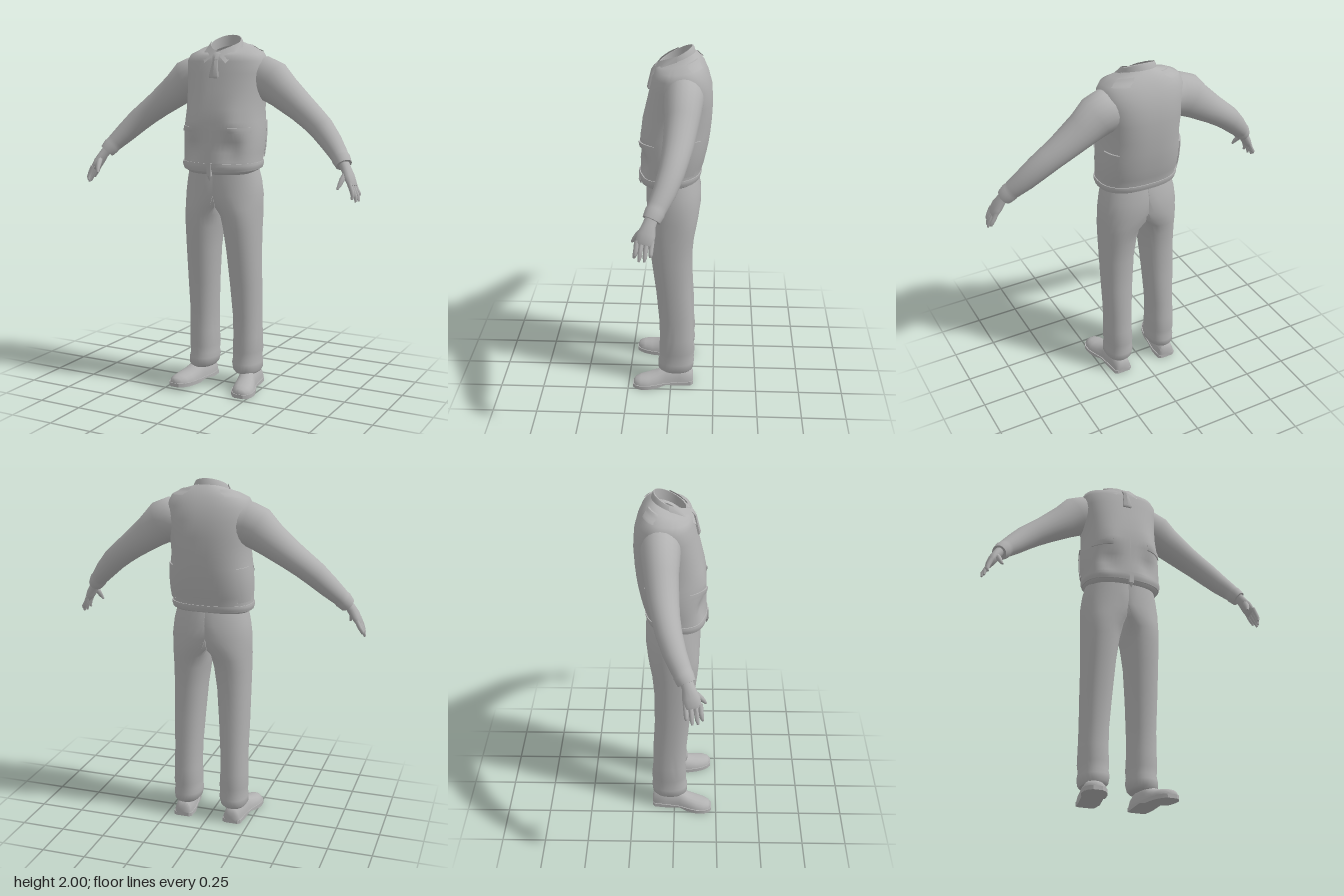
import * as THREE from 'three';
import { toCreasedNormals } from 'three/addons/utils/BufferGeometryUtils.js';

const V = (x, y, z) => new THREE.Vector3(x, y, z);
const cloth = new THREE.MeshStandardMaterial({ color: 0xb2b2b2, side: THREE.DoubleSide });
cloth.name = 'grey';

// Signed power gives rounder or boxier ovals.
const pow = (v, p) => Math.sign(v) * Math.abs(v) ** (2 / p);
const angles = (n, a0 = 0, a1 = Math.PI * 2) => Array.from({ length: n + 1 }, (_, i) => a0 + (a1 - a0) * i / n);

// Skin a row of point rings, optionally closing both ends.
function loft(name, rings, capped = false, crease = 0.9) {
  if (capped) {
    const tip = r => { const c = V(0, 0, 0); r.forEach(p => c.addScaledVector(p, 1 / r.length)); return r.map(() => c); };
    rings = [tip(rings[0]), ...rings, tip(rings[rings.length - 1])];
  }
  const w = rings[0].length, index = [];
  for (let i = 0; i < rings.length - 1; i++) for (let j = 0; j < w - 1; j++) {
    const a = i * w + j, b = a + w;
    index.push(a, a + 1, b + 1, a, b + 1, b);
  }
  const g = new THREE.BufferGeometry().setFromPoints(rings.flat());
  g.setIndex(index);
  return mesh(name, toCreasedNormals(g, crease));
}
function mesh(name, geometry) {
  const m = new THREE.Mesh(geometry, cloth);
  m.name = name;
  return m;
}

// Tube through [x, y, z, thickness radius, z radius] sections.
function tube(name, s, n = 16) {
  const at = i => V(...s[Math.max(0, Math.min(s.length - 1, i))].slice(0, 3));
  return loft(name, s.map((q, i) => {
    const t = at(i + 1).sub(at(i - 1)).normalize();
    const b = V(0, 0, 1).addScaledVector(t, -t.z).normalize();
    const a = b.clone().cross(t);
    return angles(n).map(k => at(i).addScaledVector(a, q[3] * Math.cos(k)).addScaledVector(b, q[4] * Math.sin(k)));
  }), true);
}

// Vest levels: y, half width, back z, front z, forward tilt
const VEST = [
  [1.25, 0.195, -0.135, 0.15, 0.012], [1.265, 0.218, -0.152, 0.168, 0.012], [1.29, 0.226, -0.16, 0.176, 0.01],
  [1.315, 0.224, -0.162, 0.176, 0.005], [1.36, 0.228, -0.176, 0.174, 0], [1.42, 0.23, -0.19, 0.171, 0],
  [1.48, 0.228, -0.202, 0.17, 0], [1.53, 0.223, -0.209, 0.168, 0], [1.6, 0.217, -0.216, 0.161, 0],
  [1.7, 0.222, -0.221, 0.137, 0], [1.79, 0.232, -0.215, 0.116, 0], [1.855, 0.235, -0.197, 0.1, 0],
  [1.897, 0.212, -0.174, 0.09, 0.012], [1.925, 0.155, -0.143, 0.077, 0.028], [1.937, 0.088, -0.118, 0.064, 0.035],
];
const bump = (x, y, cx, cy, sx, sy) => Math.exp(-(((Math.abs(x) - cx) / sx) ** 2) - ((y - cy) / sy) ** 2);
function vestPoint([y, hw, zb, zf, tilt], a, off = 0) {
  const p = y > 1.91 ? 2.1 : 2.45, c = pow(Math.cos(a), p), s = pow(Math.sin(a), p);
  const x = (hw + off) * s;
  let z = (zb + zf) / 2 + ((zf - zb) / 2 + off) * c;
  if (Math.cos(a) > 0) { // chest fullness with hollows beneath
    const f = Math.cos(a);
    z += f * (0.02 * bump(x, y, 0.13, 1.5, 0.06, 0.06) - 0.035 * bump(x, y, 0.12, 1.38, 0.06, 0.06));
  }
  return V(x, y - tilt * c, z);
}
function vestLevel(y) {
  let i = 0;
  while (i < VEST.length - 2 && VEST[i + 1][0] < y) i++;
  const t = (y - VEST[i][0]) / (VEST[i + 1][0] - VEST[i][0]);
  return VEST[i].map((v, k) => v + (VEST[i + 1][k] - v) * t);
}
// Raised piece that follows the vest surface.
function vestPatch(name, y0, y1, a0, a1, off, n = 10) {
  const rows = [0, 0.25, 0.5, 0.75, 1].map(t => vestLevel(y0 + (y1 - y0) * t));
  const ring = (l, o) => angles(n, a0, a1).map(a => vestPoint(l, a, o));
  return loft(name, [ring(rows[0], -0.003), ...rows.map(l => ring(l, off)), ring(rows[4], -0.003)], false, 0.6);
}

// Trouser levels: y, centre x, x radius, back z, front z
const LEG = [
  [0.085, 0.145, 0.066, -0.118, 0.065], [0.1, 0.143, 0.078, -0.13, 0.076], [0.14, 0.139, 0.083, -0.135, 0.076],
  [0.17, 0.139, 0.078, -0.128, 0.067], [0.21, 0.14, 0.082, -0.135, 0.07], [0.3, 0.141, 0.079, -0.127, 0.066],
  [0.42, 0.139, 0.079, -0.125, 0.07], [0.6, 0.135, 0.087, -0.115, 0.086], [0.8, 0.128, 0.095, -0.115, 0.112],
  [0.93, 0.12, 0.105, -0.127, 0.128], [1.0, 0.112, 0.114, -0.14, 0.135], [1.05, 0.085, 0.142, -0.15, 0.138],
  [1.12, 0.03, 0.198, -0.162, 0.142], [1.2, 0.005, 0.213, -0.162, 0.143], [1.28, 0, 0.2, -0.145, 0.14],
];

function buildSide() {
  const side = new THREE.Group();
  side.add(loft('trouserLeg', LEG.map(([y, cx, rx, zb, zf]) => angles(32).map(a =>
    V(Math.max(0, cx + rx * pow(Math.sin(a), 2.2)), y, (zb + zf) / 2 + (zf - zb) / 2 * pow(Math.cos(a), 2.2)))), true));

  // Shoe sections: z, centre x, half width, height
  const shoe = [[-0.13, 0.15, 0.035, 0.065], [-0.118, 0.15, 0.05, 0.09], [-0.05, 0.152, 0.056, 0.115], [0.03, 0.164, 0.057, 0.11],
    [0.08, 0.178, 0.063, 0.083], [0.13, 0.191, 0.067, 0.068], [0.175, 0.2, 0.06, 0.06], [0.205, 0.204, 0.043, 0.05], [0.217, 0.205, 0.022, 0.038]];
  side.add(loft('shoe', shoe.map(([z, cx, w, h]) => angles(20).map(a =>
    V(cx + w * pow(Math.cos(a), 2.5), Math.max(0.012, 0.012 + (h - 0.012) * Math.sin(a)), z))), true));

  // Sole with a raised arch in front of the heel
  side.add(loft('sole', shoe.map(([z, cx, w], i) => {
    const y = i === 3 ? 0.012 : 0, e = w + 0.004;
    return [[-e, y], [e, y], [e, 0.022], [-e, 0.022], [-e, y]].map(([x, h]) => V(cx + x, h, z + (i === 8 ? 0.004 : 0)));
  }), true, 0.5));

  side.add(tube('sleeve', [
    [0.15, 1.765, -0.07, 0.1, 0.095], [0.215, 1.765, -0.07, 0.12, 0.104], [0.265, 1.745, -0.068, 0.118, 0.1],
    [0.335, 1.69, -0.064, 0.098, 0.09], [0.45, 1.605, -0.05, 0.079, 0.08], [0.52, 1.552, -0.036, 0.072, 0.072],
    [0.58, 1.503, -0.02, 0.068, 0.067], [0.65, 1.433, 0.01, 0.059, 0.06], [0.7, 1.38, 0.04, 0.05, 0.053],
    [0.715, 1.363, 0.05, 0.047, 0.05], [0.722, 1.355, 0.054, 0.05, 0.052], [0.745, 1.325, 0.07, 0.043, 0.047],
  ], 20));

  // Hand with four fingers and a thumb
  const hand = new THREE.Group();
  hand.name = 'hand';
  hand.add(tube('palm', [[0.735, 1.345, 0.064, 0.028, 0.032], [0.762, 1.305, 0.08, 0.026, 0.034],
    [0.785, 1.265, 0.092, 0.026, 0.046], [0.803, 1.232, 0.1, 0.02, 0.046], [0.81, 1.22, 0.103, 0.014, 0.04]], 14));
  [[0.064, 0.835, 1.165, 0.07], [0.09, 0.843, 1.143, 0.1], [0.115, 0.836, 1.142, 0.128], [0.138, 0.822, 1.156, 0.152]]
    .forEach(([z, tx, ty, tz]) => hand.add(tube('finger', [
      [0.8, 1.24, z, 0.013, 0.013], [0.818, 1.2, z + 0.004, 0.0125, 0.0125],
      [(tx + 0.822) / 2 + 0.004, (ty + 1.19) / 2, (tz + z) / 2 + 0.002, 0.011, 0.011], [tx, ty, tz, 0.006, 0.006]], 8)));
  hand.add(tube('thumb', [[0.77, 1.29, 0.1, 0.015, 0.016], [0.761, 1.258, 0.132, 0.015, 0.016],
    [0.755, 1.23, 0.153, 0.012, 0.012], [0.747, 1.207, 0.167, 0.006, 0.006]], 8));
  side.add(hand);

  // Side panel, pocket edge and shoulder tab on the vest
  side.add(vestPatch('sidePanel', 1.33, 1.53, 1.75, 2.3, 0.007));
  side.add(vestPatch('pocketEdge', 1.47, 1.5, 0.4, 1.1, 0.005));
  side.add(vestPatch('shoulderTab', 1.9, 1.925, 2.0, 2.65, 0.008));

  // Folded collar point
  const inner = [V(0.006, 1.91, 0.077), V(0.04, 1.925, 0.06), V(0.075, 1.945, 0.02), V(0.093, 1.965, -0.03)];
  const outer = [V(0.022, 1.882, 0.097), V(0.066, 1.845, 0.112), V(0.098, 1.895, 0.062), V(0.108, 1.925, -0.03)];
  side.add(loft('collarPoint', [outer, inner]));
  return side;
}

export function createModel() {
  const model = new THREE.Group();
  model.name = 'headlessOutfit';

  const left = buildSide(), right = buildSide();
  left.name = 'leftSide';
  right.name = 'rightSide';
  right.scale.x = -1;
  model.add(left, right);

  model.add(loft('vest', VEST.map(l => angles(64).map(a => vestPoint(l, a)))));
  model.add(vestPatch('waistband', 1.268, 1.308, 0, Math.PI * 2, 0.005, 64));

  // Stand-up collar: outside wall, rolled rim and inside wall
  const band = [[1.925, 0.044, 0.1], [1.945, 0.045, 0.094], [1.957, 0.043, 0.088], [1.957, 0.043, 0.082], [1.9, 0.04, 0.082]];
  model.add(loft('collar', band.map(([y, tilt, r]) => angles(32).map(a =>
    V(r * Math.sin(a), y - tilt * Math.cos(a), -0.024 + r * Math.cos(a))))));

  // Necktie: knot flaring to a squared blade
  const tie = [[1.765, 0.025, 0.128], [1.775, 0.027, 0.13], [1.86, 0.014, 0.109], [1.868, 0.016, 0.108], [1.895, 0.022, 0.09], [1.905, 0.016, 0.078]];
  model.add(loft('necktie', tie.map(([y, w, z]) =>
    [[-w, -0.012], [0, -0.015], [w, -0.012], [w, 0], [0, 0.006], [-w, 0], [-w, -0.012]].map(([x, d]) => V(x, y, z + d))), true, 0.5));

  // Zip pull and front placket
  const pull = mesh('zipPull', new THREE.BoxGeometry(0.026, 0.065, 0.014));
  pull.position.set(0, 1.265, 0.178);
  const tab = mesh('zipTab', new THREE.ConeGeometry(0.013, 0.03, 4));
  tab.rotation.x = Math.PI;
  tab.position.set(0, 1.22, 0.176);
  model.add(pull, tab, vestPatch('placket', 1.31, 1.76, -0.004, 0.004, 0.002, 4));
  return model;
}
